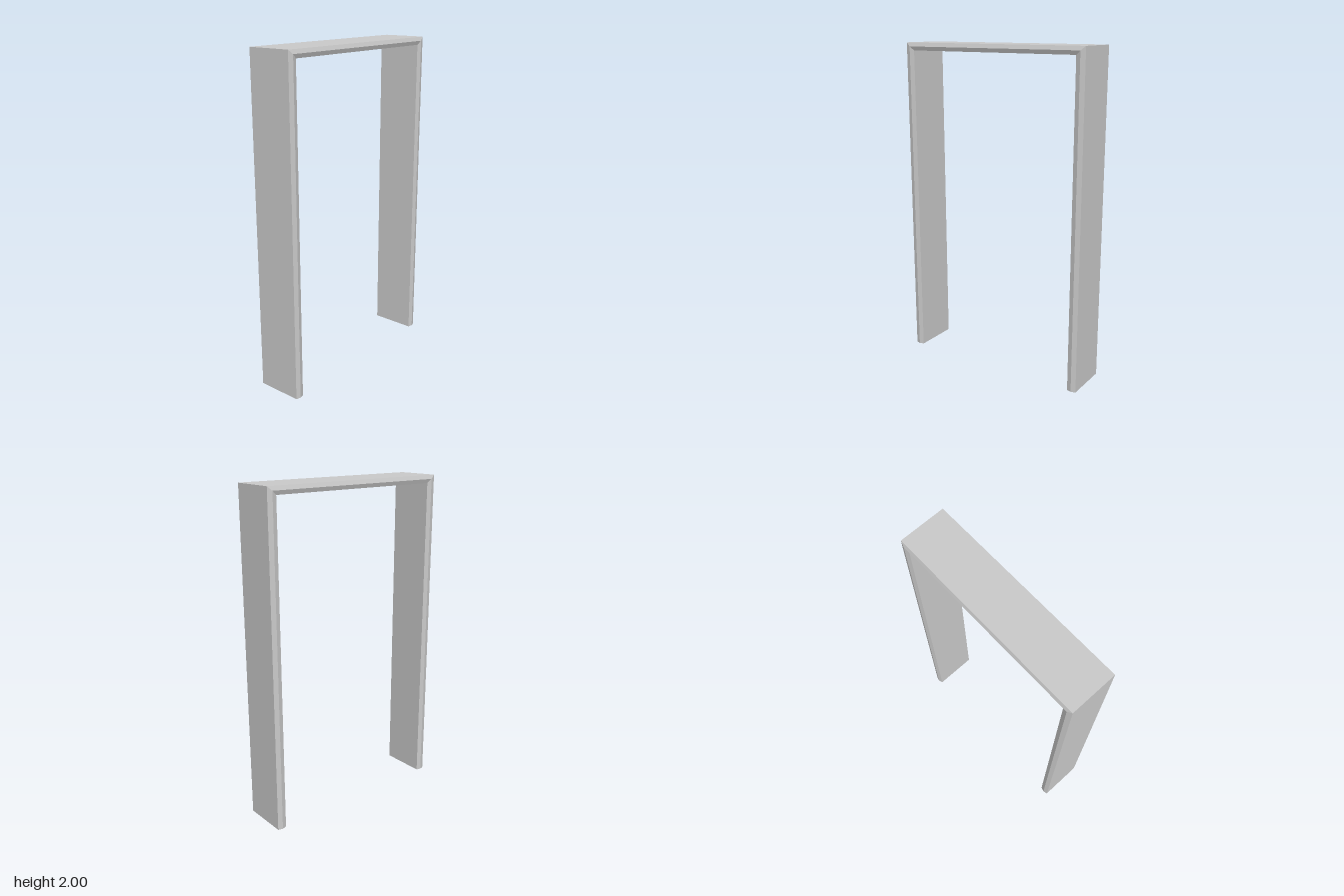
import * as THREE from 'three';

const HALF_IN = 0.555, HALF_OUT = 0.611; // jamb, inner and outer x
const TOP_IN = 1.953, TOP_OUT = 2; // head, inner and outer y

// Sweeps a profile of [t, z] points up one jamb, across the head and down the
// other with mitred corners; t runs from 0 (opening) to 1 (outside).
function sweepFrame(profile, closed) {
  const rings = [[1, 0], [1, 1], [-1, 1], [-1, 0]].map(([side, up]) =>
    profile.map(([t, z]) => [
      side * THREE.MathUtils.lerp(HALF_IN, HALF_OUT, t),
      up * THREE.MathUtils.lerp(TOP_IN, TOP_OUT, t),
      z,
    ]));
  const positions = [];
  const n = profile.length;
  for (let i = 0; i < rings.length - 1; i++) {
    for (let j = 0; j < (closed ? n : n - 1); j++) {
      const k = (j + 1) % n;
      const a = rings[i][j], b = rings[i][k], c = rings[i + 1][k], d = rings[i + 1][j];
      positions.push(...a, ...d, ...c, ...a, ...c, ...b);
    }
  }
  const geometry = new THREE.BufferGeometry();
  geometry.setAttribute('position', new THREE.Float32BufferAttribute(positions, 3));
  geometry.computeVertexNormals();
  return geometry;
}

export function createModel() {
  const group = new THREE.Group();
  group.name = 'doorFrame';
  const material = new THREE.MeshStandardMaterial({
    color: 0xcccccc, flatShading: true, side: THREE.DoubleSide,
  });
  const add = (name, geometry) => {
    const mesh = new THREE.Mesh(geometry, material);
    mesh.name = name;
    group.add(mesh);
  };

  // Hollow casing with a shallow ridge on its front and back, open at the feet
  add('casing', sweepFrame([
    [0, -0.138], [0.5, -0.146], [1, -0.138],
    [1, 0.138], [0.5, 0.146], [0, 0.138],
  ], true));

  // Thin web inside the casing, halfway through its depth
  add('innerWeb', sweepFrame([[0, 0], [1, 0]], false));

  return group;
}
